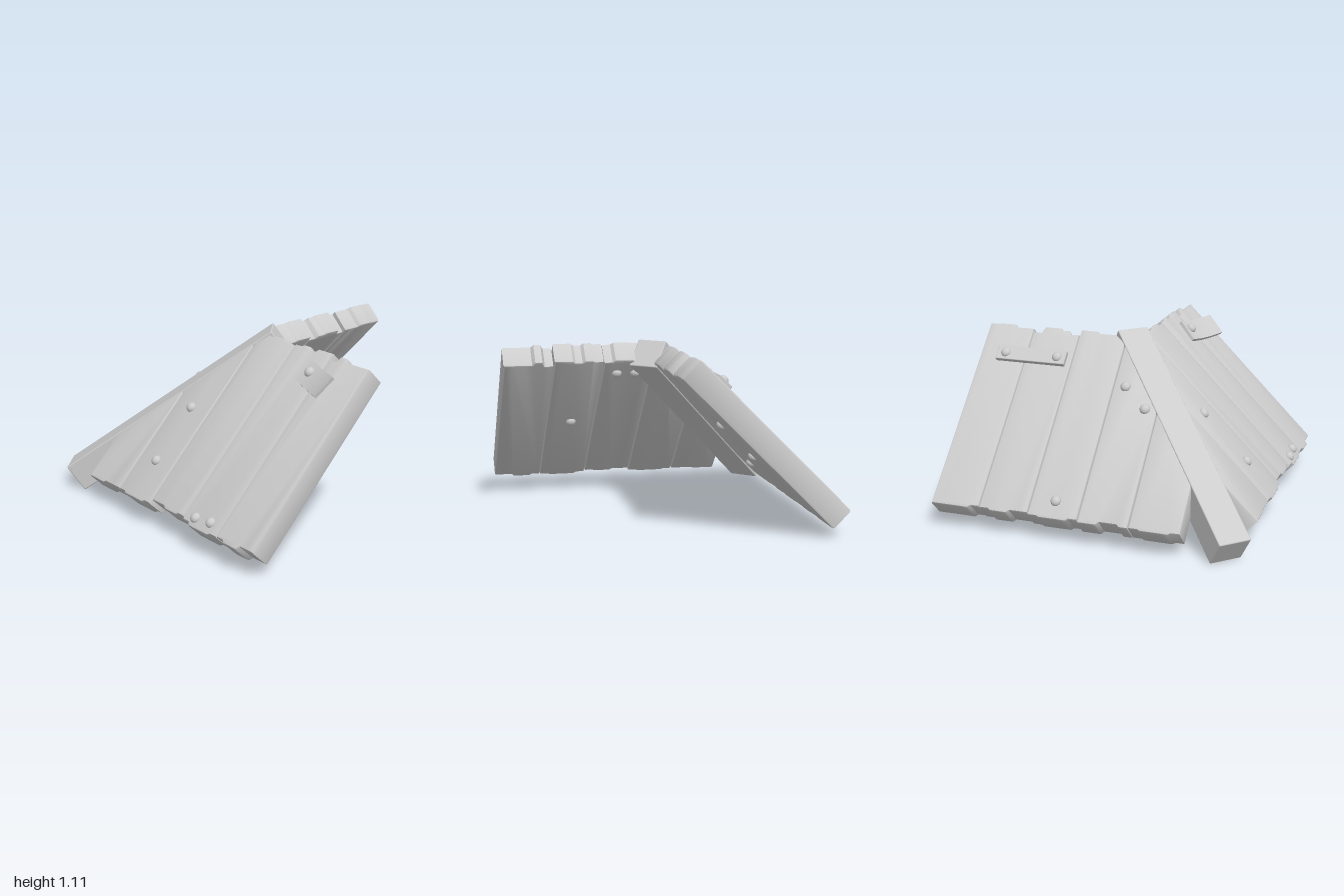
import * as THREE from 'three';
import { toCreasedNormals } from 'three/addons/utils/BufferGeometryUtils.js';
import { RoundedBoxGeometry } from 'three/addons/geometries/RoundedBoxGeometry.js';

const R2 = Math.SQRT2;
const THICK = 0.154, HALF = THICK / 2, HALF_LEN = 0.655, PITCH = 0.32;
const MID = -0.46, MID_Y = 0.585;          // centre of each slope
const grey = new THREE.MeshStandardMaterial({ color: 0xcccccc });

function add(parent, name, geometry, x = 0, y = 0, z = 0) {
  const mesh = new THREE.Mesh(geometry, grey);
  mesh.name = name;
  mesh.position.set(x, y, z);
  parent.add(mesh);
  return mesh;
}

// Stepped line across a plank: each inset is one tread, joined by short ramps
function steppedEdge(a0, a1, insets) {
  const step = (a1 - a0) / insets.length, pts = [];
  insets.forEach((inset, i) => {
    pts.push([a0 + i * step + (i ? 0.009 : 0), inset]);
    pts.push([a0 + (i + 1) * step - (i < insets.length - 1 ? 0.009 : 0), inset]);
  });
  return pts;
}

// One board with worn ends, its upper end mitred under the hip beam
function plankGeometry(a0, a1, low, high, sign) {
  const mitre = a => R2 * (a - 0.085 - MID);
  const bottom = steppedEdge(a0, a1, low).map(([a, i]) => [a, -HALF_LEN + i]);
  const top = steppedEdge(a0, a1, high).map(([a, i]) => [a, Math.min(HALF_LEN - i, mitre(a))]);
  const outline = [...bottom, ...top.reverse()];
  const shape = new THREE.Shape(outline.map(([a, v]) => new THREE.Vector2(sign * a, v)));
  const bevel = 0.012;
  const geo = new THREE.ExtrudeGeometry(shape, {
    depth: THICK - 2 * bevel, bevelThickness: bevel, bevelSize: bevel,
    bevelOffset: -bevel, bevelSegments: 2,
  });
  geo.translate(0, 0, bevel - HALF);
  return toCreasedNormals(geo, 0.7);
}

// Domed nail head on the outer (w > 0) or inner (w < 0) face
function nail(slope, u, v, w) {
  add(slope, 'nail', new THREE.SphereGeometry(0.033, 16, 10), u, v, w).scale.set(1, 1, 0.85);
}

// Slope frame: x runs along the eave, y up the slope, z out of the roof
function makeSlope(name, sign, start, ends) {
  const slope = new THREE.Group();
  slope.name = name;
  const along = sign < 0 ? new THREE.Vector3(-1, 0, 0) : new THREE.Vector3(0, 0, 1);
  const up = (sign < 0 ? new THREE.Vector3(0, 1, 1) : new THREE.Vector3(1, 1, 0)).normalize();
  const out = new THREE.Vector3().crossVectors(along, up);
  slope.quaternion.setFromRotationMatrix(new THREE.Matrix4().makeBasis(along, up, out));
  slope.position.set(sign < 0 ? 0 : MID, MID_Y, sign < 0 ? MID : 0);
  ends.forEach(([low, high], i) => {
    const a0 = start + i * PITCH;
    add(slope, 'plank', plankGeometry(a0 + 0.002, a0 + PITCH - 0.002, low, high, sign));
  });
  return slope;
}

const outerV = d => (d - MID + HALF / R2) * R2;      // from plan position
const innerV = y => (y - MID_Y + HALF / R2) * R2;    // from height

export function createModel() {
  const model = new THREE.Group();
  model.name = 'roofCorner';

  // Back slope
  const back = makeSlope('backSlope', -1, -0.605, [
    [[0.012, 0, 0, 0, 0.008], [0, 0]],
    [[0.005, 0.02, 0.02, 0, 0], [0, 0]],
    [[0.014, 0, 0, 0, 0.008], [0.03, 0.015, 0.015, 0, 0]],
    [[0.018, 0.018, 0, 0, 0.012], [0.04, 0.015, 0, 0, 0.045]],
    [[0.016, 0, 0, 0, 0], [0.02, 0.02, 0, 0, 0.006]],
  ]);
  [[0.195, -0.895], [-0.205, -0.42], [-0.045, -0.32]]
    .forEach(([x, z]) => nail(back, -x, outerV(z), HALF));
  [[0.515, 0.635], [0.515, 0.43], [-0.13, 0.25]]
    .forEach(([x, y]) => nail(back, -x, innerV(y), -HALF));

  // Flat batten joining two boards
  const battenV = outerV(-0.215);
  add(back, 'batten', new RoundedBoxGeometry(0.475, 0.1, 0.035, 1, 0.005), -0.63, battenV, HALF + 0.012);
  [0.45, 0.805].forEach(x => nail(back, -x, battenV, HALF + 0.025));
  model.add(back);

  // Side slope
  const side = makeSlope('sideSlope', 1, -0.615, [
    [[0, 0, 0.012, 0.012], [0, 0]],
    [[0.012, 0, 0, 0, 0.012], [0, 0]],
    [[0.04, 0.04, 0.025, 0.025, 0.035], [0.03, 0.01, 0, 0, 0.02]],
    [[0.02, 0, 0, 0, 0.012], [0.012, 0, 0.02, 0, 0]],
    [[0.015, 0, 0, 0.025, 0.025], [0.045, 0.005, 0.03, 0.03, 0.03]],
  ]);
  [[-0.785, -0.14], [-0.5, -0.14], [-0.935, 0.44], [-0.925, 0.57]]
    .forEach(([x, z]) => nail(side, z, outerV(x), HALF));
  [[0.25, 0.9], [0.13, 0.9], [0.5, 0.53]]
    .forEach(([z, y]) => nail(side, z, innerV(y), -HALF));

  // Loose plate curling away from the boards
  const plate = new THREE.BoxGeometry(0.31, 0.155, 0.022, 10, 1, 1);
  const pos = plate.attributes.position;
  for (let i = 0; i < pos.count; i++) {
    const t = pos.getX(i) / 0.31 + 0.5;
    pos.setZ(i, pos.getZ(i) + 0.075 * t * t);
  }
  plate.computeVertexNormals();
  add(side, 'bentPlate', plate, 0.695, 0.445, HALF + 0.01).rotation.z = -0.3;
  nail(side, 0.61, 0.485, HALF + 0.025);
  model.add(side);

  // Hip beam rising along the diagonal
  const beam = add(model, 'hipBeam', new RoundedBoxGeometry(0.21, 0.195, 1.655, 2, 0.008), -0.408, 0.561, -0.408);
  beam.quaternion.setFromRotationMatrix(new THREE.Matrix4().makeBasis(
    new THREE.Vector3(1, 0, -1).normalize(),
    new THREE.Vector3(-1, 2, -1).normalize(),
    new THREE.Vector3(1, 1, 1).normalize(),
  ));
  return model;
}
